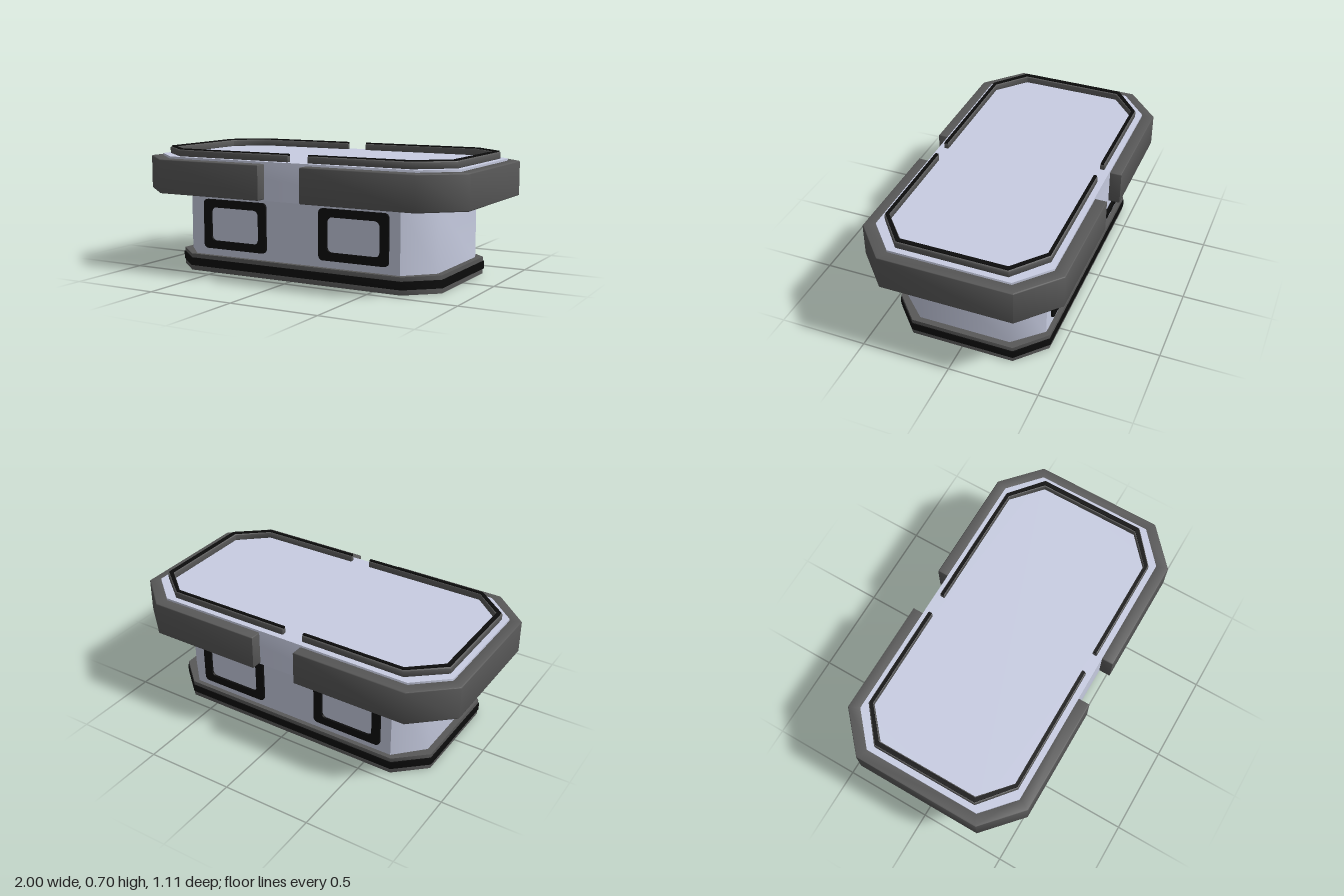
import * as THREE from 'three';
import { toCreasedNormals } from 'three/addons/utils/BufferGeometryUtils.js';

const paint = (color) => new THREE.MeshStandardMaterial({ color });

export function createModel() {
  const model = new THREE.Group();
  const pale = paint(0xc8cde2), grey = paint(0x585858), black = paint(0x0c0c0c);

  const add = (name, geometry, material) => {
    const mesh = new THREE.Mesh(geometry, material);
    mesh.name = name;
    model.add(mesh);
    return mesh;
  };

  // Extrude a plan shape upwards from y0 to y1, bevelled inside its outline
  const rise = (shape, y0, y1, bevel = 0, crease = 0.9) => {
    const g = new THREE.ExtrudeGeometry(shape, {
      depth: y1 - y0 - 2 * bevel, bevelEnabled: bevel > 0,
      bevelSize: bevel, bevelThickness: bevel, bevelOffset: -bevel, bevelSegments: 2,
    });
    g.rotateX(-Math.PI / 2).translate(0, y0 + bevel, 0);
    return toCreasedNormals(g, crease);
  };

  // Octagon: half sizes x, z and where the chamfer meets the long (cx) and short (cz) sides
  const octagon = ([x, z, cx, cz]) => new THREE.Shape([
    [cx, -z], [x, -cz], [x, cz], [cx, z], [-cx, z], [-x, cz], [-x, -cz], [-cx, -z],
  ].map((p) => new THREE.Vector2(...p)));

  // One end of an octagonal ring, stopping at x = front and x = back on the long sides
  const halfRing = (outer, inner, side, front, back) => {
    const line = ([x, z, cx, cz]) => [
      [front, -z], [side * cx, -z], [side * x, -cz], [side * x, cz], [side * cx, z], [back, z],
    ];
    return new THREE.Shape([...line(outer), ...line(inner).reverse()].map((p) => new THREE.Vector2(...p)));
  };

  // Layered base
  add('baseLower', rise(octagon([0.825, 0.438, 0.663, 0.29]), 0, 0.03), grey);
  add('baseStripe', rise(octagon([0.83, 0.443, 0.665, 0.293]), 0.028, 0.072), black);
  add('baseUpper', rise(octagon([0.825, 0.438, 0.663, 0.29]), 0.07, 0.095), grey);

  // Body and wide top slab
  add('body', rise(octagon([0.79, 0.412, 0.645, 0.26]), 0.09, 0.45, 0, 0.785), pale);
  add('topSlab', rise(octagon([0.94, 0.49, 0.765, 0.335]), 0.44, 0.652), pale);

  // Bumper halves and the raised rim with its black cap
  for (const side of [-1, 1]) {
    const label = side > 0 ? 'left' : 'right';
    add(label + 'Bumper', rise(halfRing([1, 0.555, 0.79, 0.365], [0.93, 0.48, 0.755, 0.325],
      side, side * 0.13, side * 0.13), 0.447, 0.64, 0.006), grey);
    const front = side > 0 ? 0.123 : 0, back = side > 0 ? 0 : -0.123;
    add(label + 'Rim', rise(halfRing([0.908, 0.458, 0.725, 0.305], [0.873, 0.433, 0.712, 0.29],
      side, front, back), 0.65, 0.69, 0.005), grey);
    add(label + 'RimCap', rise(halfRing([0.902, 0.453, 0.722, 0.302], [0.879, 0.436, 0.714, 0.293],
      side, front, back), 0.685, 0.696), black);
  }

  // Rounded window frames, two on each long side
  const rounded = (Type, w, h, r) => {
    const s = new Type(), x = w / 2, y = h / 2;
    s.absarc(x - r, y - r, r, 0, Math.PI / 2);
    s.absarc(r - x, y - r, r, Math.PI / 2, Math.PI);
    s.absarc(r - x, r - y, r, Math.PI, Math.PI * 1.5);
    s.absarc(x - r, r - y, r, Math.PI * 1.5, Math.PI * 2);
    s.closePath();
    return s;
  };
  const frameShape = rounded(THREE.Shape, 0.415, 0.28, 0.025);
  frameShape.holes.push(rounded(THREE.Path, 0.315, 0.19, 0.03));
  const frame = toCreasedNormals(new THREE.ExtrudeGeometry(frameShape,
    { depth: 0.025, bevelEnabled: false, curveSegments: 6 }), 0.6);
  for (const face of [1, -1]) {
    for (const x of [-0.375, 0.375]) {
      const mesh = add(face > 0 ? 'frontWindowFrame' : 'backWindowFrame', frame, black);
      mesh.position.set(x, 0.275, face * 0.4);
      if (face < 0) mesh.rotation.y = Math.PI;
    }
  }
  return model;
}
